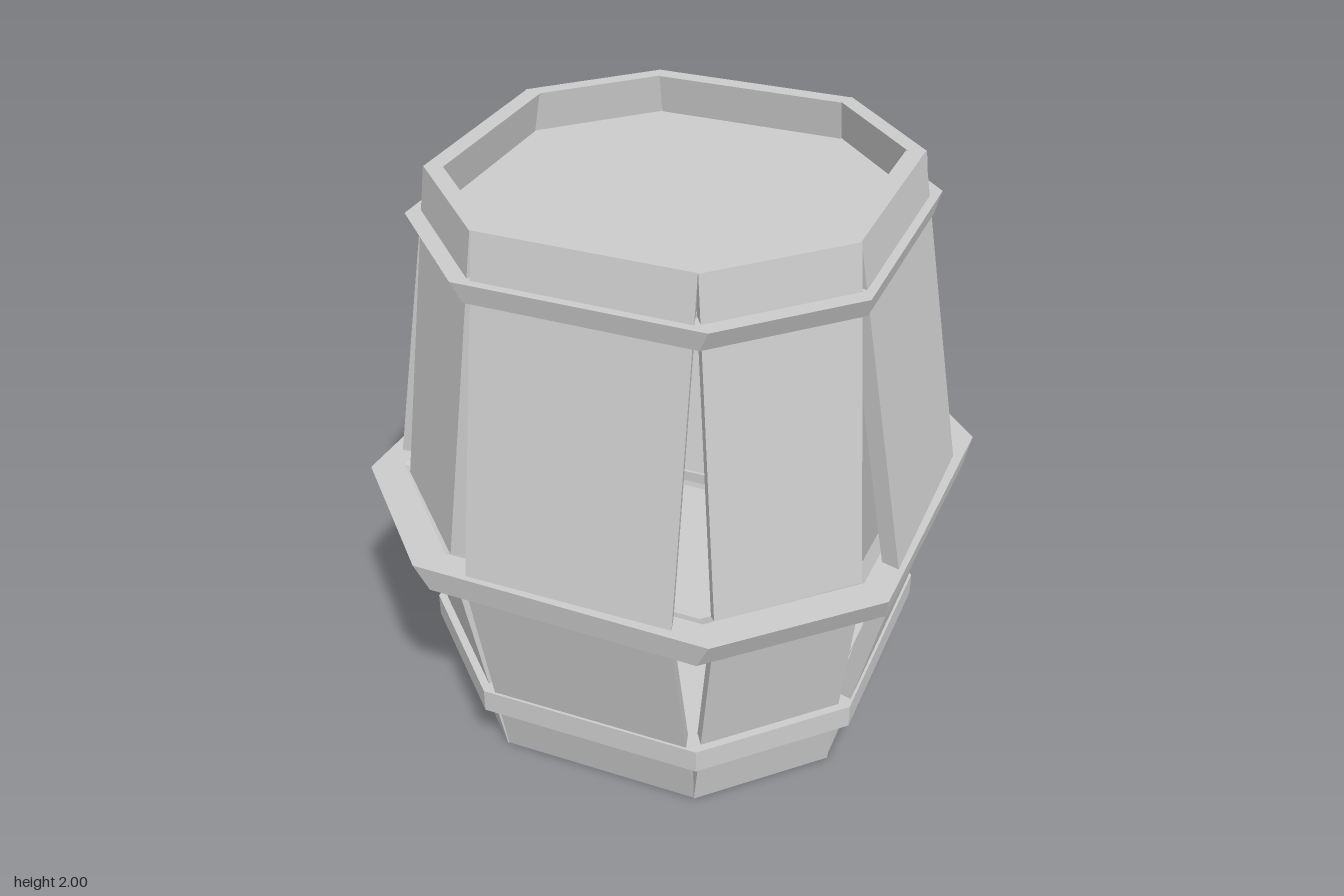
import * as THREE from 'three';

const mat = new THREE.MeshStandardMaterial({ color: 0xcccccc, flatShading: true });

function add(parent, geometry, name) {
  const mesh = new THREE.Mesh(geometry, mat);
  mesh.name = name;
  parent.add(mesh);
  return mesh;
}

// Octagon corners: a = distance of the square sides, c = half their length
const octagon = (a, c) => [[c, a], [a, c], [a, -c], [c, -a], [-c, -a], [-a, -c], [-a, c], [-c, a]];

// Bent stave: side profile extruded across its width, narrower on the inside
function staveGeometry(end, belly, halfWidth, thickness) {
  const bend = 0.84;
  const profile = new THREE.Shape([
    [end, 0], [belly, bend], [end, 2],
    [end - thickness, 2], [belly - thickness, bend], [end - thickness, 0],
  ].map(([d, y]) => new THREE.Vector2(d, y)));
  const geo = new THREE.ExtrudeGeometry(profile, { depth: 2 * halfWidth, bevelEnabled: false });
  geo.translate(0, 0, -halfWidth);
  const p = geo.attributes.position;
  for (let i = 0; i < p.count; i++) {
    const outer = Math.abs(p.getY(i) - bend) < 0.01 ? belly : end;
    if (p.getX(i) < outer - 0.02) p.setZ(i, p.getZ(i) * 0.95);
  }
  geo.computeVertexNormals();
  return geo;
}

// Closed octagonal ring from a cross-section of [a, c, y] corners:
// outer bottom, outer top, inner top, inner bottom
function hoopGeometry(section) {
  const pos = [], index = [];
  for (const [a, c, y] of section) for (const [x, z] of octagon(a, c)) pos.push(x, y, z);
  const n = section.length;
  for (let r = 0; r < n; r++) {
    for (let i = 0; i < 8; i++) {
      const s = (r + 1) % n, j = (i + 1) % 8;
      const p = r * 8 + i, q = r * 8 + j, u = s * 8 + j, v = s * 8 + i;
      index.push(p, q, u, p, u, v);
    }
  }
  const geo = new THREE.BufferGeometry();
  geo.setAttribute('position', new THREE.Float32BufferAttribute(pos, 3));
  geo.setIndex(index);
  const flat = geo.toNonIndexed();
  flat.computeVertexNormals();
  return flat;
}

// Flat octagonal board between two heights
function boardGeometry(a, c, y0, y1) {
  const shape = new THREE.Shape(octagon(a, c).map(([x, z]) => new THREE.Vector2(x, z)));
  const geo = new THREE.ExtrudeGeometry(shape, { depth: y1 - y0, bevelEnabled: false });
  geo.rotateX(-Math.PI / 2);
  geo.translate(0, y0, 0);
  return geo;
}

export function createModel() {
  const model = new THREE.Group();
  model.name = 'barrel';

  const body = new THREE.Group();
  body.name = 'body';
  body.position.set(0.006, 0, 0.006);
  model.add(body);

  // Staves: wide ones on the four sides, narrow ones on the diagonals
  const wide = staveGeometry(0.71, 0.912, 0.352, 0.06);
  const narrow = staveGeometry(0.755, 0.903, 0.254, 0.055);
  for (let i = 0; i < 8; i++) {
    const stave = add(body, i % 2 ? narrow : wide, i % 2 ? 'narrowStave' : 'wideStave');
    stave.rotation.y = (i * Math.PI) / 4;
  }

  // Recessed top and bottom boards
  add(body, boardGeometry(0.68, 0.355, 1.82, 1.86), 'lid');
  add(body, boardGeometry(0.69, 0.36, 0.18, 0.24), 'bottomBoard');

  // Hoops; the middle one sits slightly turned, with a sloping underside
  add(body, hoopGeometry([
    [0.75, 0.375, 1.78], [0.765, 0.405, 1.85], [0.69, 0.36, 1.85], [0.7, 0.36, 1.78],
  ]), 'topHoop');
  const middleHoop = add(model, hoopGeometry([
    [0.92, 0.465, 0.79], [0.936, 0.51, 0.885], [0.838, 0.45, 0.885], [0.79, 0.42, 0.86],
  ]), 'middleHoop');
  middleHoop.rotation.y = -0.019;
  add(body, hoopGeometry([
    [0.79, 0.39, 0.21], [0.79, 0.39, 0.295], [0.71, 0.37, 0.295], [0.71, 0.37, 0.21],
  ]), 'lowerHoop');

  return model;
}
